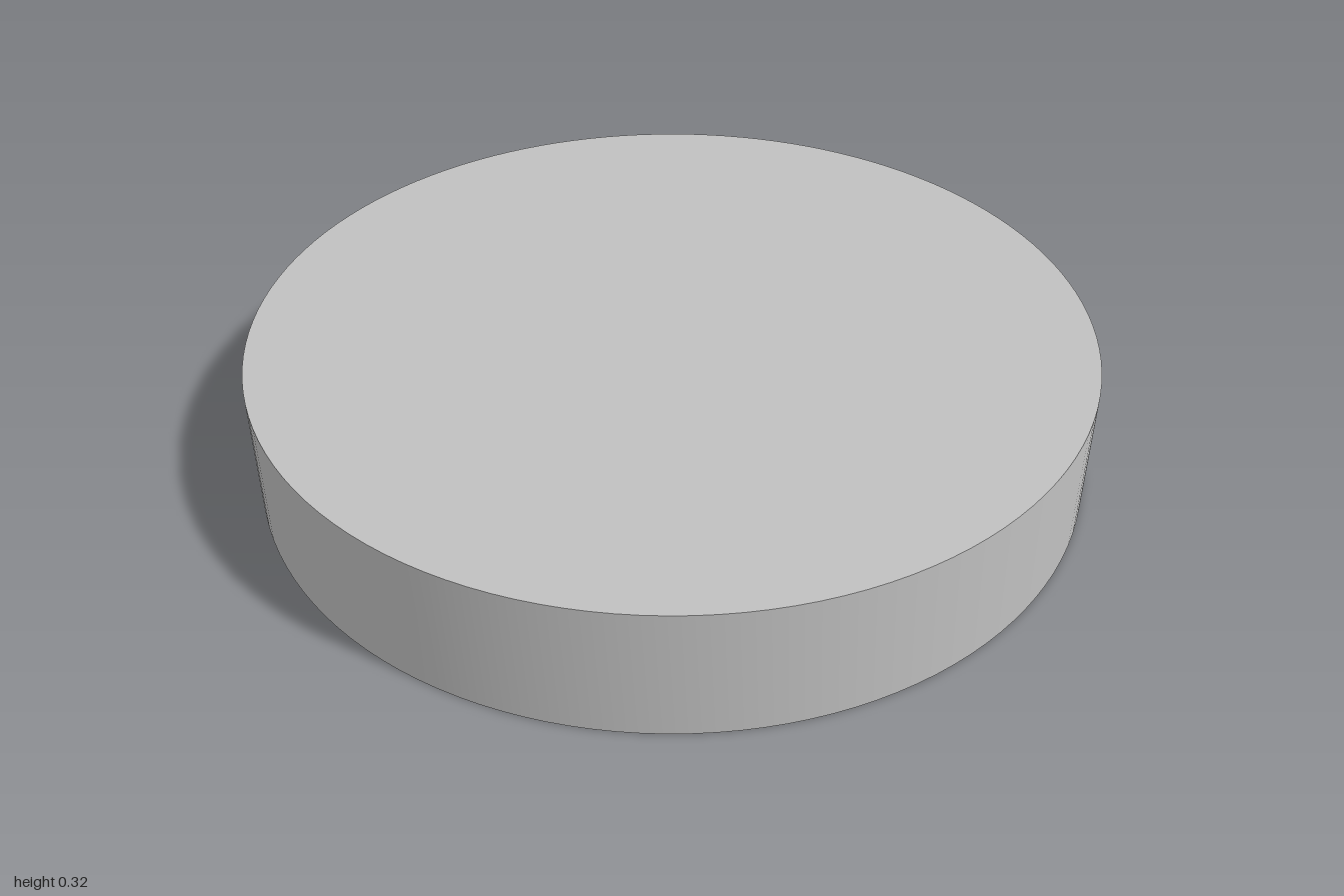
import * as THREE from 'three';
import { toCreasedNormals } from 'three/addons/utils/BufferGeometryUtils.js';

const SEGMENTS = 128;

// Revolve a [radius, height] profile, smooth around and sharp at its corners
function revolve(name, profile, material) {
  const points = profile.map(([r, y]) => new THREE.Vector2(r, y));
  const geometry = toCreasedNormals(new THREE.LatheGeometry(points, SEGMENTS), 0.5);
  const mesh = new THREE.Mesh(geometry, material);
  mesh.name = name;
  return mesh;
}

export function createModel() {
  const grey = new THREE.MeshStandardMaterial({ color: 0xc0c0c0 });
  grey.name = 'light grey';

  const group = new THREE.Group();
  group.name = 'roundCap';

  const top = 0.32, ceiling = 0.233, grooveBottom = 0.185, bossBottom = 0.213;
  const outerR = 1, boreR = 0.84, grooveR = 0.85, bossR = 0.214;

  // Hollow cap: ceiling, shallow groove, bore, rim, outer wall and flat top
  group.add(revolve('cap', [
    [bossR, ceiling], [grooveR, ceiling],
    [grooveR, grooveBottom], [boreR, grooveBottom],
    [boreR, 0], [outerR, 0],
    [outerR, top], [0, top],
  ], grey));

  // Low round boss under the ceiling
  group.add(revolve('centreBoss', [
    [0, bossBottom], [bossR, bossBottom], [bossR, ceiling],
  ], grey));

  return group;
}
